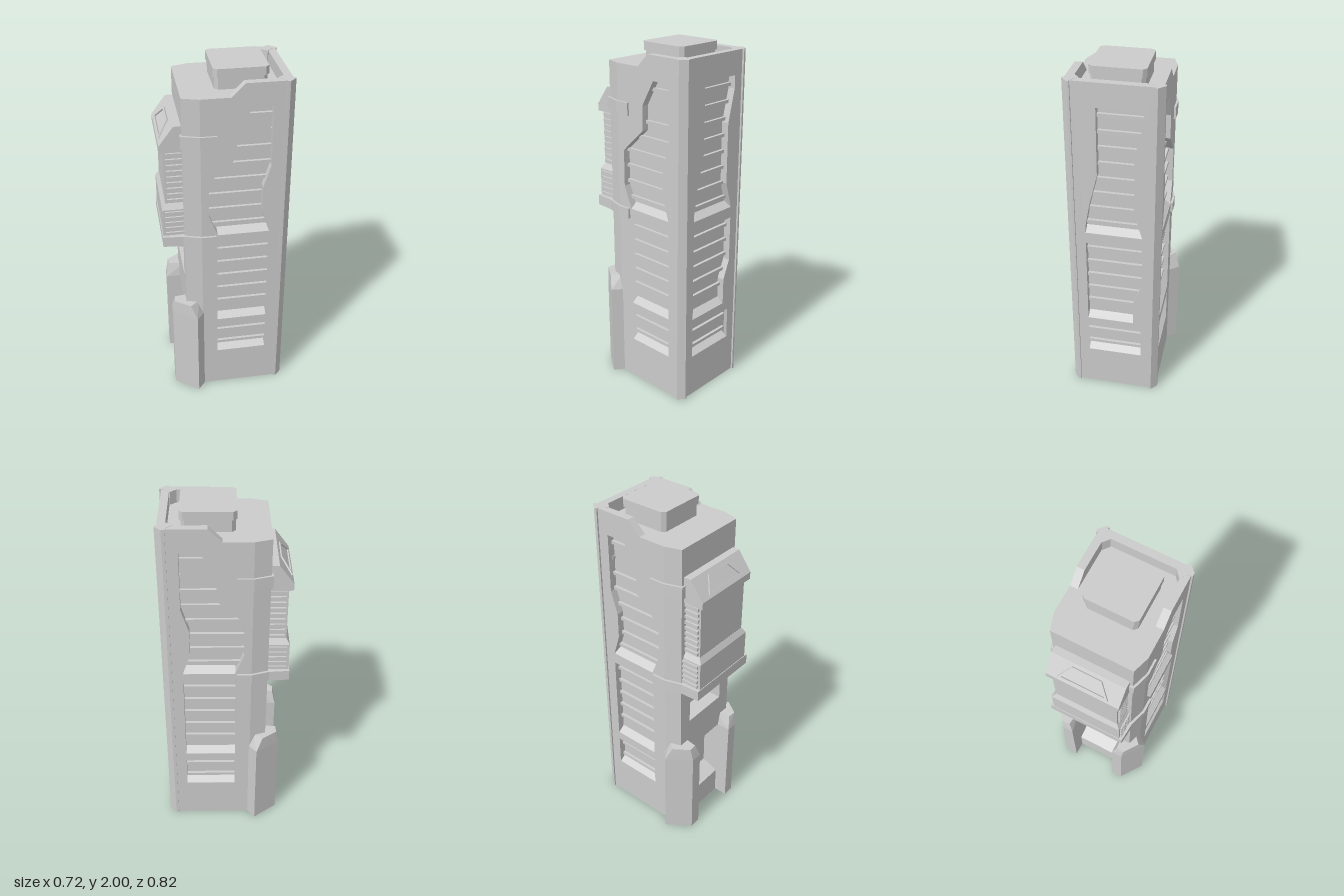
import * as THREE from 'three';
import { ConvexGeometry } from 'three/addons/geometries/ConvexGeometry.js';

const mat = new THREE.MeshStandardMaterial({ color: 0xcccccc, flatShading: true });

function add(parent, name, geo) {
  const m = new THREE.Mesh(geo, mat);
  m.name = name;
  parent.add(m);
  return m;
}
const shapeOf = (pts) => new THREE.Shape(pts.map(([x, y]) => new THREE.Vector2(x, y)));
const extrude = (shape, depth) => new THREE.ExtrudeGeometry(shape, { depth, bevelEnabled: false });

// Half footprint mirrored across x = 0
const sym = (pts) => [...pts, ...pts.map(([x, z]) => [-x, z]).reverse()];

// Upright prism from an [x, z] footprint
function prism(parent, name, pts, y0, y1) {
  const geo = extrude(shapeOf(pts.map(([x, z]) => [x, -z])), y1 - y0);
  geo.rotateX(-Math.PI / 2).translate(0, y0, 0);
  return add(parent, name, geo);
}

// [z, y] profile extruded across the width
function across(parent, name, pts, width) {
  const geo = extrude(shapeOf(pts), width);
  geo.rotateY(-Math.PI / 2).translate(width / 2, 0, 0);
  return add(parent, name, geo);
}

function box(parent, name, w, h, d, x, y, z) {
  const m = add(parent, name, new THREE.BoxGeometry(w, h, d));
  m.position.set(x, y, z);
  return m;
}

// Convex block through stacked rings [y, [[x, z], ...]]
function stacked(parent, name, rings) {
  const pts = rings.flatMap(([y, ring]) => ring.map(([x, z]) => new THREE.Vector3(x, y, z)));
  return add(parent, name, new ConvexGeometry(pts));
}

// Horizontal extent of an outline at height y
function spanAt(outline, y) {
  const hits = [];
  outline.forEach(([x0, y0], i) => {
    const [x1, y1] = outline[(i + 1) % outline.length];
    if ((y0 - y) * (y1 - y) < 0) hits.push(x0 + ((x1 - x0) * (y - y0)) / (y1 - y0));
  });
  return [Math.min(...hits), Math.max(...hits)];
}

const T = 0.042; // wall thickness, also recess depth

// Wall plate with recessed, ribbed panels; z = 0 is the recess floor
function pannelledWall(parent, name, outline, panels, flip) {
  const g = new THREE.Group();
  g.name = name;
  const map = (pts) => pts.map(([s, y]) => [flip * s, y]);
  const shape = shapeOf(map(outline));
  panels.forEach((p) => shape.holes.push(shapeOf(map(p))));
  add(g, 'wallPlate', extrude(shape, T));
  panels.forEach((p) => {
    const pts = map(p);
    const ys = pts.map((q) => q[1]);
    const lo = Math.min(...ys), hi = Math.max(...ys);
    for (let y = hi - 0.05; y > lo + 0.03; y -= 0.09) {
      const [a, b] = spanAt(pts, y);
      box(g, 'louverRib', b - a + 0.01, 0.018, 0.018, (a + b) / 2, y, 0.008);
    }
    // sloped sill along the bottom edge
    const [a, b] = spanAt(pts, lo + 0.005);
    const sill = extrude(shapeOf([[0, lo], [T - 0.002, lo], [0, lo + 0.03]]), b - a);
    sill.rotateY(-Math.PI / 2).translate(b, 0, 0);
    add(g, 'panelSill', sill);
  });
  parent.add(g);
  return g;
}

export function createModel() {
  const root = new THREE.Group();
  root.name = 'tower';
  const t = new THREE.Group();
  t.name = 'towerBody';
  t.rotation.y = THREE.MathUtils.degToRad(-27);
  t.position.set(-0.005, 0, -0.003);
  root.add(t);

  // Core with chamfered front, notched at doorway and window
  const half = [[0.205, -0.292], [0.205, 0.115], [0.247, 0.115], [0.247, 0.14], [0.218, 0.23]];
  const solid = sym(half);
  const notched = sym([...half, [0.14, 0.23], [0.14, 0.13]]);
  prism(t, 'doorwayStorey', notched, 0, 0.555);
  prism(t, 'lintelStorey', solid, 0.555, 0.77);
  prism(t, 'windowStorey', notched, 0.77, 1.03);
  prism(t, 'upperStorey', solid, 1.03, 1.89);
  across(t, 'doorSill', [[0.229, 0], [0.229, 0.165], [0.12, 0.212], [0.12, 0]], 0.282);

  // Side walls: [z, y] outlines
  const sideOutline = [[-0.295, 0], [0.115, 0], [0.115, 1.89], [-0.016, 1.89], [-0.088, 1.96], [-0.295, 1.96]];
  const rect = (a, b, y0, y1) => [[a, y0], [b, y0], [b, y1], [a, y1]];
  const sidePanels = [
    [[-0.126, 1.83], [-0.047, 1.69], [-0.047, 1.555], [0.099, 1.42], [0.099, 1.215], [0.05, 1.09],
      [-0.233, 1.09], [-0.192, 1.22], [-0.192, 1.37], [-0.233, 1.5], [-0.233, 1.83]],
    rect(-0.233, 0.054, 0.495, 1.025),
    rect(-0.233, 0.054, 0.25, 0.44),
  ];
  for (const s of [1, -1]) {
    const w = pannelledWall(t, s > 0 ? 'leftWall' : 'rightWall', sideOutline, sidePanels, -s);
    w.rotation.y = (s * Math.PI) / 2;
    w.position.x = s * 0.205;
  }

  // Back wall: [x, y] outlines
  const backPanels = [
    [[0.085, 1.83], [0.085, 1.45], [0.13, 1.27], [0.155, 1.13], [0.155, 1.09], [-0.155, 1.09],
      [-0.11, 1.24], [-0.11, 1.58], [-0.155, 1.76], [-0.155, 1.83]],
    [[0.155, 1.025], [0.155, 0.495], [-0.11, 0.495], [-0.11, 0.65], [-0.155, 0.76], [-0.155, 1.025]],
    rect(-0.155, 0.155, 0.25, 0.44),
  ];
  const back = pannelledWall(t, 'backWall', rect(-0.212, 0.212, 0, 1.96), backPanels, -1);
  back.rotation.y = Math.PI;
  back.position.z = -0.292;

  for (const s of [1, -1]) {
    const side = (pts) => pts.map(([x, z]) => [s * x, z]);
    // Chamfered rear corner posts
    prism(t, 'cornerPost', side([[0.21, -0.345], [0.222, -0.345], [0.256, -0.31], [0.256, -0.293],
      [0.24, -0.293], [0.203, -0.255], [0.175, -0.288], [0.21, -0.325]]), 0, 1.961);
    // Front buttresses with tapered tops
    const foot = side([[0.24, 0.13], [0.3, 0.178], [0.205, 0.31], [0.14, 0.31], [0.14, 0.2]]);
    const top = side([[0.225, 0.16], [0.272, 0.212], [0.212, 0.296], [0.165, 0.292], [0.155, 0.2]]);
    stacked(t, 'buttress', [[0, foot], [0.555, foot], [0.635, top]]);
    // Ribs on the sides of the bay
    for (let i = 0; i < 9; i++)
      box(t, 'bayRib', 0.016, 0.018, 0.085, s * 0.187, 1.3 + i * 0.034, 0.272);
    for (let i = 0; i < 5; i++)
      box(t, 'bayRib', 0.014, 0.016, 0.1, s * 0.206, 1.105 + i * 0.032, 0.28);
  }

  // Projecting front bay
  across(t, 'bayWall', rect(0.2, 0.325, 1.25, 1.595), 0.366);
  const bayTop = sym([[0.183, 0.2], [0.183, 0.326]]);
  const bayLow = sym([[0.203, 0.2], [0.203, 0.344]]);
  stacked(t, 'bayBase', [[1.08, bayLow], [1.25, bayLow], [1.282, bayTop]]);
  across(t, 'bayHood', [[0.2, 1.735], [0.27, 1.735], [0.348, 1.63], [0.348, 1.59], [0.2, 1.59]], 0.404);

  // Trapezoid frame on the hood slope
  const frame = shapeOf([[-0.14, -0.048], [0.14, -0.048], [0.08, 0.044], [-0.08, 0.044]]);
  frame.holes.push(shapeOf([[-0.12, -0.038], [0.12, -0.038], [0.072, 0.034], [-0.072, 0.034]]));
  const hoodFrame = add(t, 'hoodFrame', extrude(frame, 0.008));
  hoodFrame.position.set(0, 1.6825, 0.309);
  hoodFrame.rotation.x = -Math.atan2(0.078, 0.105);

  // Collar under the bay and strap behind the hood
  prism(t, 'collar', sym([[0.26, 0.06], [0.26, 0.142], [0.23, 0.238], [0.222, 0.348]]), 1.03, 1.09);
  prism(t, 'strap', sym([[0.258, 0.055], [0.258, 0.142], [0.228, 0.24]]), 1.62, 1.69);

  // Roof block
  const octagon = (i) => {
    const w = 0.146 - i, z0 = -0.229 + i, z1 = 0.057 - i, c = 0.019;
    return sym([[w - c, z0], [w, z0 + c], [w, z1 - c], [w - c, z1]]);
  };
  prism(t, 'roofBlockNeck', octagon(0.007), 1.88, 1.955);
  prism(t, 'roofBlockCap', octagon(0), 1.955, 2);

  return root;
}
